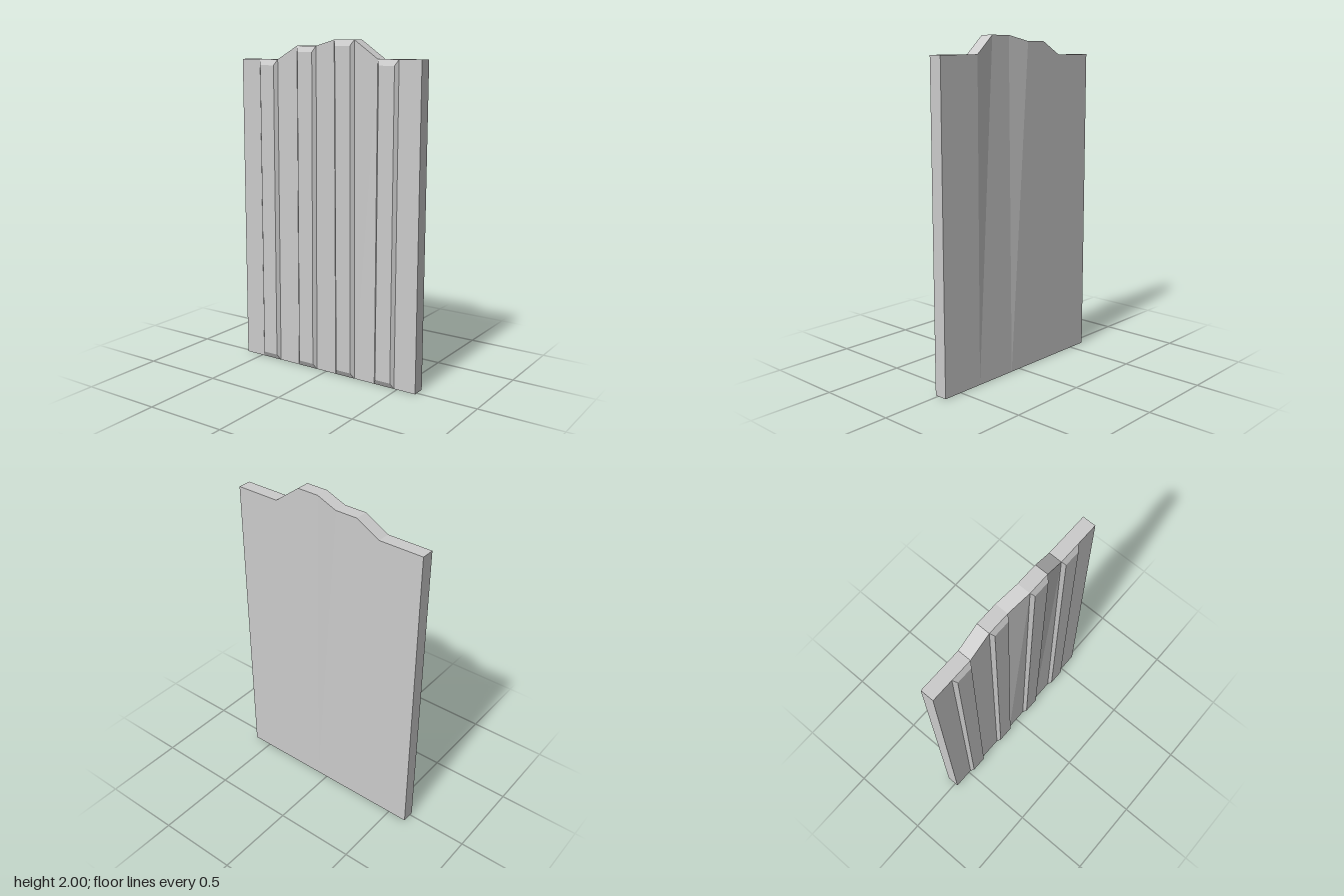
import * as THREE from 'three';

const BACK = -0.06, FRONT = 0.02, RIB = 0.02, BEVEL_X = 0.017, BEVEL_Y = 0.035;

// Panel stations across the width: [x, top height, forward lean at the top]
const stations = [
  [-0.62, 1.885, 0], [-0.485, 1.885, 0], [-0.35, 1.885, 0],
  [-0.207, 1.965, 0], [-0.07, 1.965, 0], [0.07, 2, 0.022],
  [0.205, 2, 0.022], [0.345, 1.895, 0], [0.48, 1.895, 0], [0.62, 1.895, 0],
];

// Point on a station's height, z following the lean
const point = ([x, top, lean], y, z, dx = 0) => [x + dx, y, z + lean * y / top];

// Flat-shaded surface from four-cornered faces
function surface(name, faces, material) {
  const positions = faces.flatMap(([a, b, c, d]) => [a, b, c, a, c, d]).flat();
  const geometry = new THREE.BufferGeometry();
  geometry.setAttribute('position', new THREE.Float32BufferAttribute(positions, 3));
  geometry.computeVertexNormals();
  const mesh = new THREE.Mesh(geometry, material);
  mesh.name = name;
  return mesh;
}

export function createModel() {
  const group = new THREE.Group();
  group.name = 'ribbedPanel';
  const material = new THREE.MeshStandardMaterial({
    color: 0xcccccc, flatShading: true, side: THREE.DoubleSide,
  });
  const front = [], back = [], top = [];

  for (let i = 0; i < stations.length - 1; i++) {
    const l = stations[i], r = stations[i + 1];
    const outer = [point(l, 0, FRONT), point(r, 0, FRONT), point(r, r[1], FRONT), point(l, l[1], FRONT)];
    const rear = [point(r, 0, BACK), point(l, 0, BACK), point(l, l[1], BACK), point(r, r[1], BACK)];
    back.push(rear);
    top.push([outer[3], outer[2], rear[3], rear[2]]);

    if (i % 2 === 0) {
      front.push(outer);
      continue;
    }
    // Hollow raised rib with bevels on all four sides
    const z = FRONT + RIB;
    const inner = [
      point(l, BEVEL_Y, z, BEVEL_X), point(r, BEVEL_Y, z, -BEVEL_X),
      point(r, r[1] - BEVEL_Y, z, -BEVEL_X), point(l, l[1] - BEVEL_Y, z, BEVEL_X),
    ];
    const rib = [inner];
    for (let k = 0; k < 4; k++) {
      const n = (k + 1) % 4;
      rib.push([outer[k], outer[n], inner[n], inner[k]]);
    }
    group.add(surface('rib' + (i + 1) / 2, rib, material));
  }

  // End walls; the underside is left open
  const a = stations[0], b = stations[stations.length - 1];
  const ends = [
    [point(a, 0, BACK), point(a, 0, FRONT), point(a, a[1], FRONT), point(a, a[1], BACK)],
    [point(b, 0, FRONT), point(b, 0, BACK), point(b, b[1], BACK), point(b, b[1], FRONT)],
  ];

  group.add(
    surface('frontSheet', front, material),
    surface('backSheet', back, material),
    surface('topEdge', top, material),
    surface('endWalls', ends, material),
  );
  return group;
}
